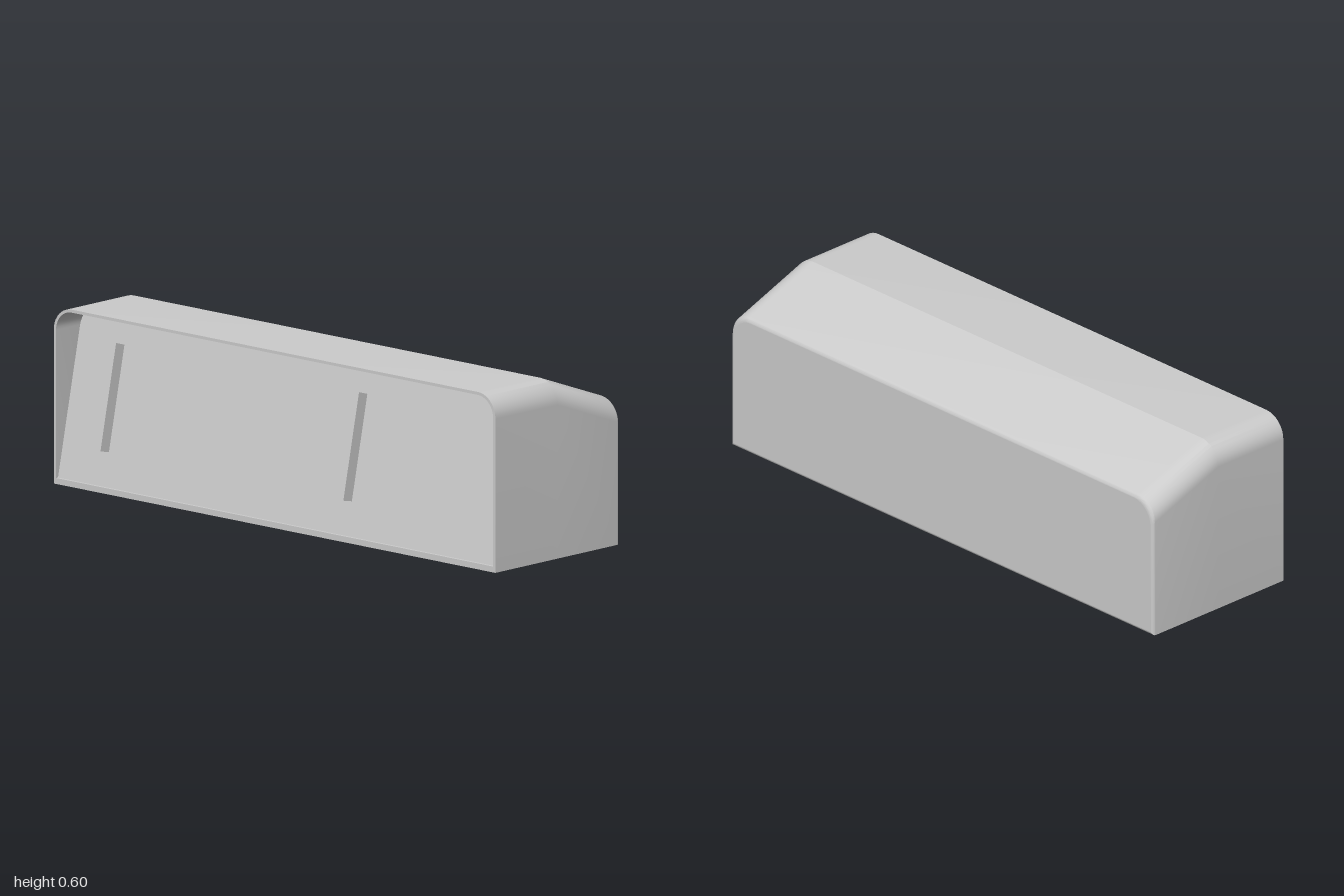
import * as THREE from 'three';
import { toCreasedNormals } from 'three/addons/utils/BufferGeometryUtils.js';

const FRONT = 0.3, SLOPE = 0.213, RECESS = 0.042;
const material = new THREE.MeshStandardMaterial({ color: 0xcccccc, side: THREE.DoubleSide });

// Counter-clockwise rectangle outline with rounded top corners
function outline(x0, x1, y0, y1, r = 0) {
  const pts = [new THREE.Vector2(x0, y0), new THREE.Vector2(x1, y0)];
  if (!r) return pts.concat([new THREE.Vector2(x1, y1), new THREE.Vector2(x0, y1)]);
  for (const [cx, start] of [[x1 - r, 0], [x0 + r, Math.PI / 2]]) {
    for (let i = 0; i <= 10; i++) {
      const a = start + (i / 10) * Math.PI / 2;
      pts.push(new THREE.Vector2(cx + r * Math.cos(a), y1 - r + r * Math.sin(a)));
    }
  }
  return pts;
}

// Place a 2D outline in space with depth given by a rule
const place = (pts, zOf, dy = 0) => pts.map(p => new THREE.Vector3(p.x, p.y + dy, zOf(p.y)));

// Skin between closed rings that run from front to back
function loft(rings) {
  const n = rings[0].length, pos = [], index = [];
  rings.flat().forEach(p => pos.push(p.x, p.y, p.z));
  for (let i = 0; i < rings.length - 1; i++) {
    for (let j = 0; j < n; j++) {
      const a = i * n + j, b = i * n + (j + 1) % n;
      index.push(a, a + n, b, b, a + n, b + n);
    }
  }
  const g = new THREE.BufferGeometry();
  g.setAttribute('position', new THREE.Float32BufferAttribute(pos, 3));
  g.setIndex(index);
  return toCreasedNormals(g, 0.32);
}

// Flat sheet with holes, its depth given by a rule
function sheet(pts, holes, zOf, dy = 0) {
  const shape = new THREE.Shape(pts);
  holes.forEach(h => shape.holes.push(new THREE.Path(h)));
  const g = new THREE.ShapeGeometry(shape), p = g.attributes.position;
  for (let i = 0; i < p.count; i++) p.setXYZ(i, p.getX(i), p.getY(i) + dy, zOf(p.getY(i)));
  g.computeVertexNormals();
  return g;
}

export function createModel() {
  const group = new THREE.Group();
  const add = (name, geometry) => {
    const mesh = new THREE.Mesh(geometry, material);
    mesh.name = name;
    group.add(mesh);
  };

  // Casing: level roof, sloping down behind the middle, softened back edge
  const bevel = 0.012, R = 0.08;
  const section = (z, inset) => outline(-1 + inset, 1 - inset, inset, 0.6 + 0.365 * Math.min(z, 0) - inset, R);
  const rings = [[FRONT, 0], [0, 0]];
  for (let i = 0; i <= 6; i++) {
    const a = (i / 6) * Math.PI / 2;
    rings.push([-0.3 + bevel * (1 - Math.sin(a)), bevel * (1 - Math.cos(a))]);
  }
  add('casing', loft(rings.map(([z, inset]) => place(section(z, inset), () => z))));
  const back = sheet(section(-0.3, bevel), [], () => 0);
  add('backPanel', back.rotateY(Math.PI).translate(0, 0, -0.3));

  // Thin front rim and the walls of the opening
  const opening = outline(-0.99, 0.99, 0.02, 0.59, 0.07);
  const panelZ = y => FRONT - 0.01 - SLOPE * (y - 0.02);
  add('frontRim', sheet(section(FRONT, 0), [opening], () => FRONT));
  const inward = [...opening].reverse();
  add('openingWalls', loft([place(inward, () => FRONT), place(inward, panelZ)]));

  // Leaning front panel with two rectangular pockets
  const windows = [-1, 1].map(s => outline(s * 0.55 - 0.27, s * 0.55 + 0.27, 0.13, 0.485));
  add('frontPanel', sheet(opening, windows, panelZ));
  const tilt = Math.atan(SLOPE), drop = -RECESS * Math.sin(tilt);
  const floorZ = y => panelZ(y) - RECESS * Math.cos(tilt);
  windows.forEach((w, i) => {
    const side = i ? 'left' : 'right', rev = [...w].reverse();
    add(side + 'PocketWalls', loft([place(rev, panelZ), place(rev, floorZ, drop)]));
    add(side + 'PocketFloor', sheet(w, [], floorZ, drop));
  });
  return group;
}
